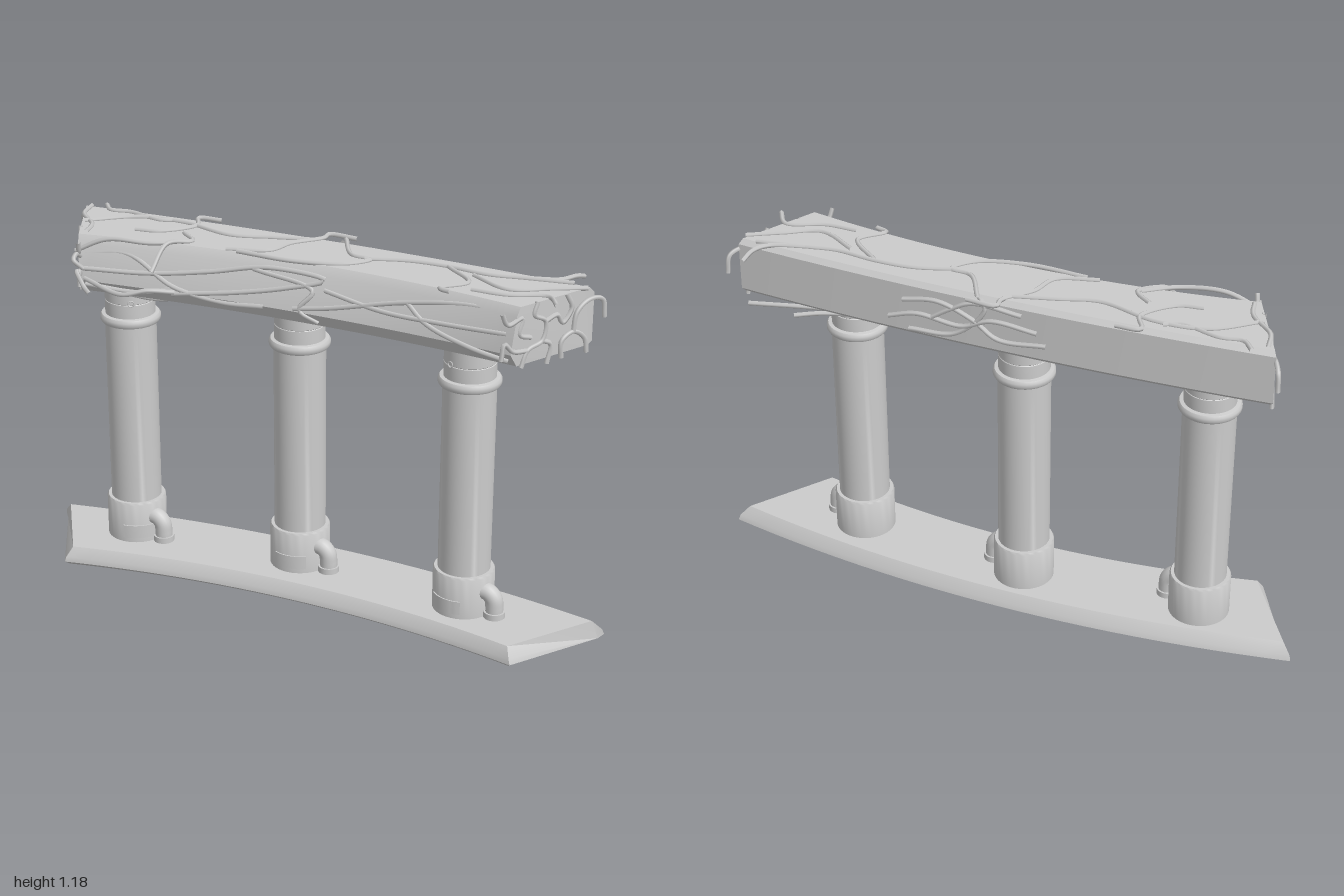
import * as THREE from 'three';
import { toCreasedNormals } from 'three/addons/utils/BufferGeometryUtils.js';

const grey = new THREE.MeshStandardMaterial({ color: 0xcccccc });
const V = (x, y, z) => new THREE.Vector3(x, y, z);

function add(parent, name, geometry, x = 0, y = 0, z = 0) {
  const mesh = new THREE.Mesh(geometry, grey);
  mesh.name = name;
  mesh.position.set(x, y, z);
  parent.add(mesh);
  return mesh;
}

// Skin between bowed sections. Each corner is [z at middle, y, extra z at ends, half length].
const bowPoint = ([z, y, bow, half], t) => V(half * t, y, z + bow * t * t - 0.02 * t);

function bowedBar(corners, steps = 24) {
  const n = corners.length, pos = [], index = [];
  for (let i = 0; i <= steps; i++) {
    for (const c of corners) pos.push(...bowPoint(c, (2 * i) / steps - 1).toArray());
  }
  for (let i = 0; i < steps; i++) {
    for (let j = 0; j < n; j++) {
      const a = i * n + j, b = i * n + (j + 1) % n;
      index.push(a, b, a + n, b, b + n, a + n);
    }
  }
  for (let j = 1; j < n - 1; j++) {
    index.push(0, j + 1, j);
    index.push(steps * n, steps * n + j, steps * n + j + 1);
  }
  const g = new THREE.BufferGeometry();
  g.setAttribute('position', new THREE.Float32BufferAttribute(pos, 3));
  g.setIndex(index);
  return toCreasedNormals(g, 0.45);
}

// Column with collar, ring, plate and elbow pipe
function makeColumn(x, z, plateAngle, holeX) {
  const g = new THREE.Group();
  g.name = 'column';
  g.position.set(x, 0, z);
  const profile = [
    [0, 0.06], [0.1, 0.06], [0.1, 0.2], [0.096, 0.207], [0.085, 0.207], [0.085, 0.84],
    [0.095, 0.842], [0.1, 0.85], [0.1, 0.862], [0.095, 0.87], [0.083, 0.872],
    [0.083, 0.918], [0.081, 0.92], [0.083, 0.922], [0.083, 0.99], [0, 0.99],
  ].map(([r, y]) => new THREE.Vector2(r, y));
  add(g, 'shaft', toCreasedNormals(new THREE.LatheGeometry(profile, 40), 0.6));

  const plate = new THREE.LatheGeometry(
    [[0.099, 0.08], [0.104, 0.08], [0.104, 0.126], [0.099, 0.126]].map(p => new THREE.Vector2(...p)),
    10, plateAngle - 0.55, 1.1);
  add(g, 'plate', toCreasedNormals(plate, 0.6));

  if (holeX !== null) {
    const rim = add(g, 'boltHole', new THREE.TorusGeometry(0.01, 0.002, 6, 16),
      holeX, 0.925, Math.sqrt(0.083 ** 2 - holeX ** 2));
    rim.rotation.y = Math.asin(holeX / 0.083);
  }

  const bend = new THREE.CatmullRomCurve3([
    V(0.07, 0.15, 0.03), V(0.098, 0.147, 0.03), V(0.117, 0.128, 0.03), V(0.121, 0.1, 0.03), V(0.121, 0.062, 0.03),
  ]);
  add(g, 'elbowPipe', new THREE.TubeGeometry(bend, 20, 0.029, 18));
  add(g, 'pipeFlange', new THREE.CylinderGeometry(0.035, 0.035, 0.02, 24), 0.121, 0.075, 0.03);
  return g;
}

// Front face depth of the beam at a given place
function frontZ(x, y) {
  const t = x / 0.76;
  const mid = y < 1.02 ? 0.115 - (1.02 - y) * 0.6 : 0.115 - (y - 1.02) * 0.29;
  return mid + 0.05 * t * t - 0.02 * t;
}

// End face position: the ends slant inward toward the front
const endX = z => 0.89 - (z + 0.13) * 0.53;

function addVines(parent, name, paths, place) {
  const g = new THREE.Group();
  g.name = name;
  for (const path of paths) {
    const curve = new THREE.CatmullRomCurve3(path.map(p => place(...p)));
    add(g, 'vine', new THREE.TubeGeometry(curve, path.length * 7, 0.008, 5));
  }
  parent.add(g);
}

export function createModel() {
  const model = new THREE.Group();

  // Curved foot slab with bevelled rim
  add(model, 'baseSlab', bowedBar([
    [-0.175, 0, 0.1, 0.985], [-0.19, 0.012, 0.1, 1], [-0.185, 0.03, 0.1, 0.995], [-0.165, 0.063, 0.1, 0.965],
    [0.115, 0.063, 0.09, 0.785], [0.137, 0.03, 0.09, 0.8], [0.14, 0.012, 0.09, 0.805], [0.125, 0, 0.09, 0.795],
  ]));

  // Three columns
  for (const c of [[-0.655, 0.013, 0.6, 0.045], [-0.055, -0.04, 0.1, null], [0.555, 0, -0.25, -0.035]]) {
    model.add(makeColumn(...c));
  }

  // Curved beam with sloping front
  add(model, 'beam', bowedBar([
    [-0.155, 0.978, 0.035, 0.88], [-0.165, 0.99, 0.035, 0.89], [-0.165, 1.15, 0.035, 0.89], [-0.152, 1.167, 0.035, 0.88],
    [0.06, 1.167, 0.07, 0.755], [0.08, 1.14, 0.065, 0.75], [0.115, 1.02, 0.045, 0.74], [0.09, 0.978, 0.045, 0.75],
  ]));

  // Vines over the top, as x, z, and optional y
  addVines(model, 'topVines', [
    [[-0.61, 0.04], [-0.53, 0.02], [-0.45, -0.08], [-0.48, -0.15], [-0.4, -0.16]],
    [[-0.82, -0.13], [-0.78, -0.09], [-0.71, -0.1], [-0.58, -0.075], [-0.53, -0.1]],
    [[-0.8, 0.04], [-0.66, -0.07], [-0.5, -0.09], [-0.31, -0.05], [-0.18, -0.09], [-0.05, -0.13]],
    [[-0.45, 0], [-0.39, 0.055], [-0.45, 0.11], [-0.46, 0.2, 1.1]],
    [[-0.26, 0.07], [-0.13, 0.02], [-0.1, -0.07], [-0.03, -0.16], [-0.03, -0.2], [0.07, -0.2]],
    [[0.04, -0.18], [0.12, -0.06], [0.19, -0.05], [0.14, 0.02], [-0.02, 0.07], [-0.22, 0.07]],
    [[0.17, -0.045], [0.3, -0.09], [0.43, -0.1], [0.57, -0.09], [0.67, -0.11], [0.83, -0.14]],
    [[0.43, -0.1], [0.54, 0], [0.48, 0.08], [0.52, 0.095]],
    [[0.67, -0.11], [0.78, -0.15], [0.81, -0.2], [0.82, -0.25, 1.155]],
    [[0.53, -0.065], [0.67, 0], [0.78, -0.06], [0.88, -0.12]],
    [[-0.4, 0.06], [-0.5, 0.13], [-0.64, 0.16], [-0.75, 0.18, 1.12]],
    [[-0.86, -0.1], [-0.84, -0.02], [-0.76, 0.06], [-0.74, 0.13]],
    [[0.57, 0.05], [0.68, 0.045], [0.8, 0], [0.85, 0.06]],
  ], (x, z, y = 1.17) => V(x, y, z));

  // Vines along the front, as x, y
  addVines(model, 'frontVines', [
    [[-0.73, 1.11], [-0.58, 1.12], [-0.42, 1.04], [-0.25, 1.01], [-0.1, 1.02]],
    [[-0.73, 1.06], [-0.5, 1.07], [-0.3, 1.1], [-0.1, 1.14], [0.1, 1.13], [-0.04, 1.085], [-0.2, 1.05], [-0.42, 1.015]],
    [[0, 1.03], [0.12, 1.05], [0.38, 1.11], [0.6, 1.14], [0.75, 1.13]],
    [[0.38, 1.11], [0.45, 1.06], [0.6, 1.02], [0.73, 0.995]],
    [[-0.15, 1.13], [0.06, 1.09], [0.02, 1.03], [0.08, 0.99]],
    [[0.1, 1.1], [0.3, 1.07], [0.5, 1.07], [0.72, 1.08]],
    [[-0.72, 1.01], [-0.55, 1.0], [-0.42, 1.03]],
  ], (x, y) => V(x, y, frontZ(x, y) + 0.003));

  // Vine cluster on the back, as x, y
  addVines(model, 'backVines', [
    [[0.35, 1.03], [0.25, 1.06], [0.1, 1.05], [0, 1.09], [-0.15, 1.08]],
    [[0.3, 1.1], [0.18, 1.12], [0.06, 1.08], [-0.02, 1.03], [-0.18, 1.04]],
    [[0.28, 1], [0.12, 1.02], [0.02, 1.13], [0.04, 1.17]],
    [[0.2, 1.06], [0.14, 1.1], [0.06, 1.14], [-0.1, 1.13]],
  ], (x, y) => V(x, y, -0.17 + 0.045 * x * x - 0.022 * x));

  // Vines on both ends, as z, y; some curl past the front and back edges
  const endPaths = [
    [[0.12, 0.97], [0.1, 1.02], [0.05, 1.04], [0.04, 1.1], [0.08, 1.13], [0.07, 1.17]],
    [[0.05, 1.04], [0.02, 1.02], [0.03, 0.96]],
    [[0.04, 1.1], [0, 1.11], [-0.02, 1.08], [-0.05, 1.12], [-0.03, 1.17]],
    [[-0.02, 0.965], [-0.02, 1.02], [-0.06, 1.04], [-0.1, 1.01], [-0.11, 0.96]],
    [[-0.06, 1.04], [-0.07, 1.1], [-0.11, 1.13], [-0.16, 1.12], [-0.17, 1.06]],
    [[0.09, 1.06], [0.13, 1.08], [0.12, 1.13], [0.17, 1.12], [0.19, 1.16]],
    [[0.1, 1.02], [0.15, 1.03], [0.18, 1.06], [0.19, 1.01]],
  ];
  for (const side of [-1, 1]) {
    addVines(model, side > 0 ? 'leftEndVines' : 'rightEndVines', endPaths,
      (z, y) => V(side * (endX(z) + 0.002), y, z - 0.018 * side));
  }
  addVines(model, 'curlingVines', [
    [[-0.74, 1.1, 0.17], [-0.73, 1.12, 0.21], [-0.72, 1.11, 0.24], [-0.7, 1.08, 0.22]],
    [[-0.74, 1.05, 0.18], [-0.73, 1.06, 0.21], [-0.7, 1.02, 0.22], [-0.66, 1.01, 0.25]],
    [[-0.72, 1.03, 0.18], [-0.55, 1.02, 0.23], [-0.47, 1.04, 0.21], [-0.4, 1.03, 0.16]],
  ], V);

  // Vines hanging under the beam
  addVines(model, 'undersideVines', [
    [[0.25, 0.97, -0.06], [0.42, 0.965, -0.1], [0.6, 0.965, -0.12], [0.85, 0.96, -0.18]],
    [[0.45, 0.965, -0.1], [0.6, 0.965, -0.15], [0.68, 0.96, -0.19]],
    [[-0.62, 0.975, 0.11], [-0.5, 0.97, 0.1], [-0.4, 0.975, 0.05]],
  ], V);

  return model;
}
